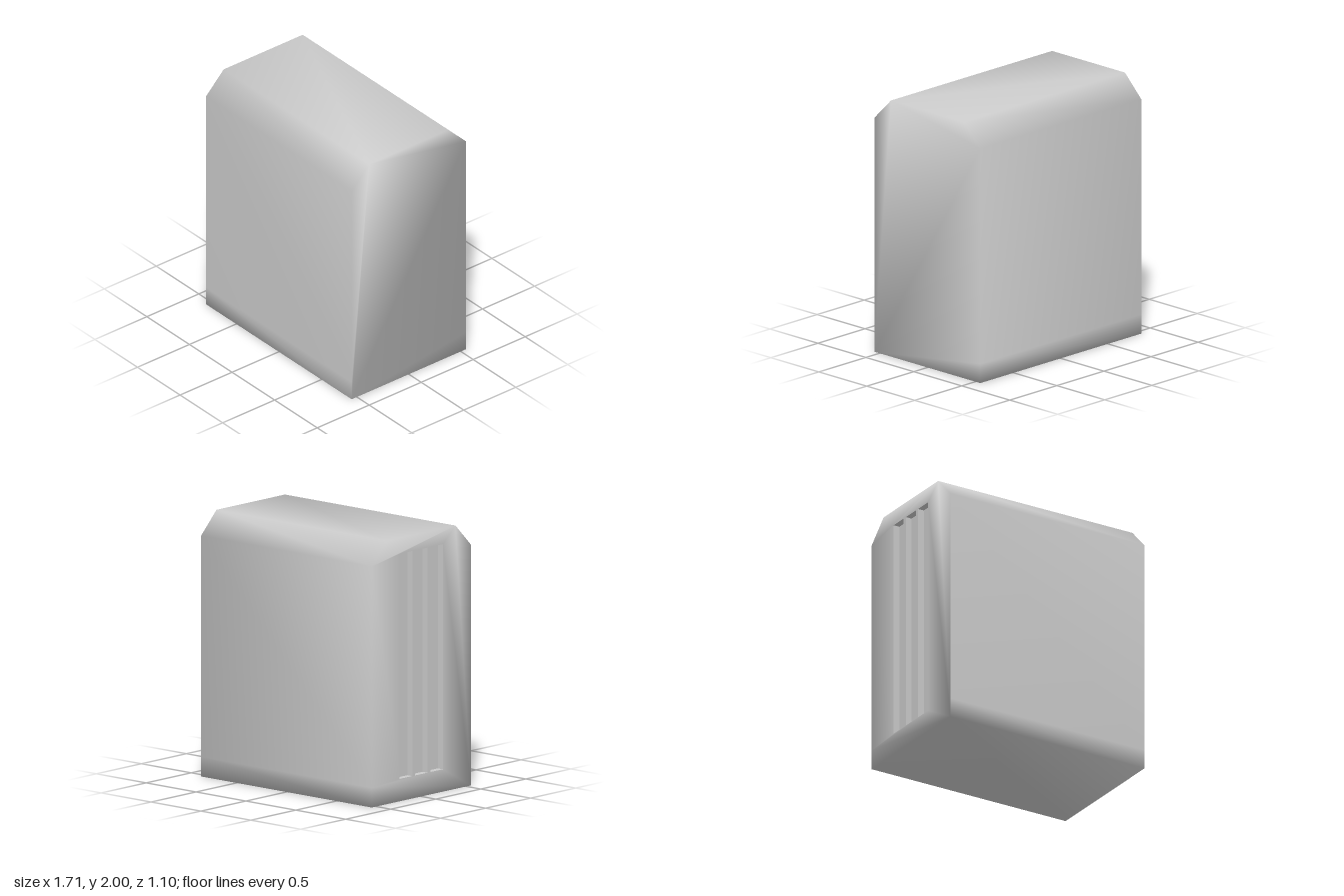
import * as THREE from 'three';
import { mergeGeometries, mergeVertices } from 'three/addons/utils/BufferGeometryUtils.js';

const HALF_X = 0.855, SLOT_FLOOR = -0.805;

// End outline as [z, y], with the top edges cut off front and back
const OUTLINE = [
  [-0.55, 0], [0.55, 0], [0.55, 0.15], [0.55, 1.83],
  [0.38, 2], [-0.38, 2], [-0.55, 1.83], [-0.55, 0.15],
];

const toVectors = (pts) => pts.map(([z, y]) => new THREE.Vector2(z, y));

function fromPositions(pos) {
  const g = new THREE.BufferGeometry();
  g.setAttribute('position', new THREE.Float32BufferAttribute(pos, 3));
  return g;
}

// Flat face across x, pointing to -x or to +x
function cap(outline, holes, x, towardPlusX) {
  const shape = new THREE.Shape(toVectors(outline));
  shape.holes = holes.map((h) => new THREE.Path(toVectors(h)));
  const flat = new THREE.ShapeGeometry(shape).toNonIndexed().attributes.position;
  const pos = [];
  for (let i = 0; i < flat.count; i += 3) {
    const order = towardPlusX ? [i, i + 2, i + 1] : [i, i + 1, i + 2];
    for (const k of order) pos.push(x, flat.getY(k), flat.getX(k));
  }
  return fromPositions(pos);
}

// Band that carries an outline from x0 to x1
function wall(outline, x0, x1) {
  const pos = [];
  outline.forEach(([z, y], i) => {
    const [nz, ny] = outline[(i + 1) % outline.length];
    pos.push(x1, y, z, x1, ny, nz, x0, ny, nz);
    pos.push(x1, y, z, x0, ny, nz, x0, y, z);
  });
  return fromPositions(pos);
}

export function createModel() {
  const group = new THREE.Group();
  const material = new THREE.MeshStandardMaterial({ color: 0xcccccc });
  const add = (name, geometry) => {
    geometry.computeVertexNormals();
    const mesh = new THREE.Mesh(geometry, material);
    mesh.name = name;
    group.add(mesh);
  };

  // Three tall slots, listed clockwise so their walls face inward
  const slots = [-0.17, 0, 0.17].map((c) => {
    const w = 0.07, lo = 0.17, hi = 1.88;
    return [[c - w, lo], [c - w, hi], [c + w, hi], [c + w, lo]];
  });

  // Casing with softly blended edges
  add('casing', mergeVertices(mergeGeometries([
    wall(OUTLINE, -HALF_X, HALF_X),
    cap(OUTLINE, [], HALF_X, true),
    cap(OUTLINE, slots, -HALF_X, false),
  ])));

  // Recessed vent slots in the right end
  slots.forEach((slot, i) => {
    add('ventSlot' + (i + 1), mergeGeometries([
      wall(slot, -HALF_X, SLOT_FLOOR),
      cap(slot, [], SLOT_FLOOR, false),
    ]));
  });

  return group;
}
